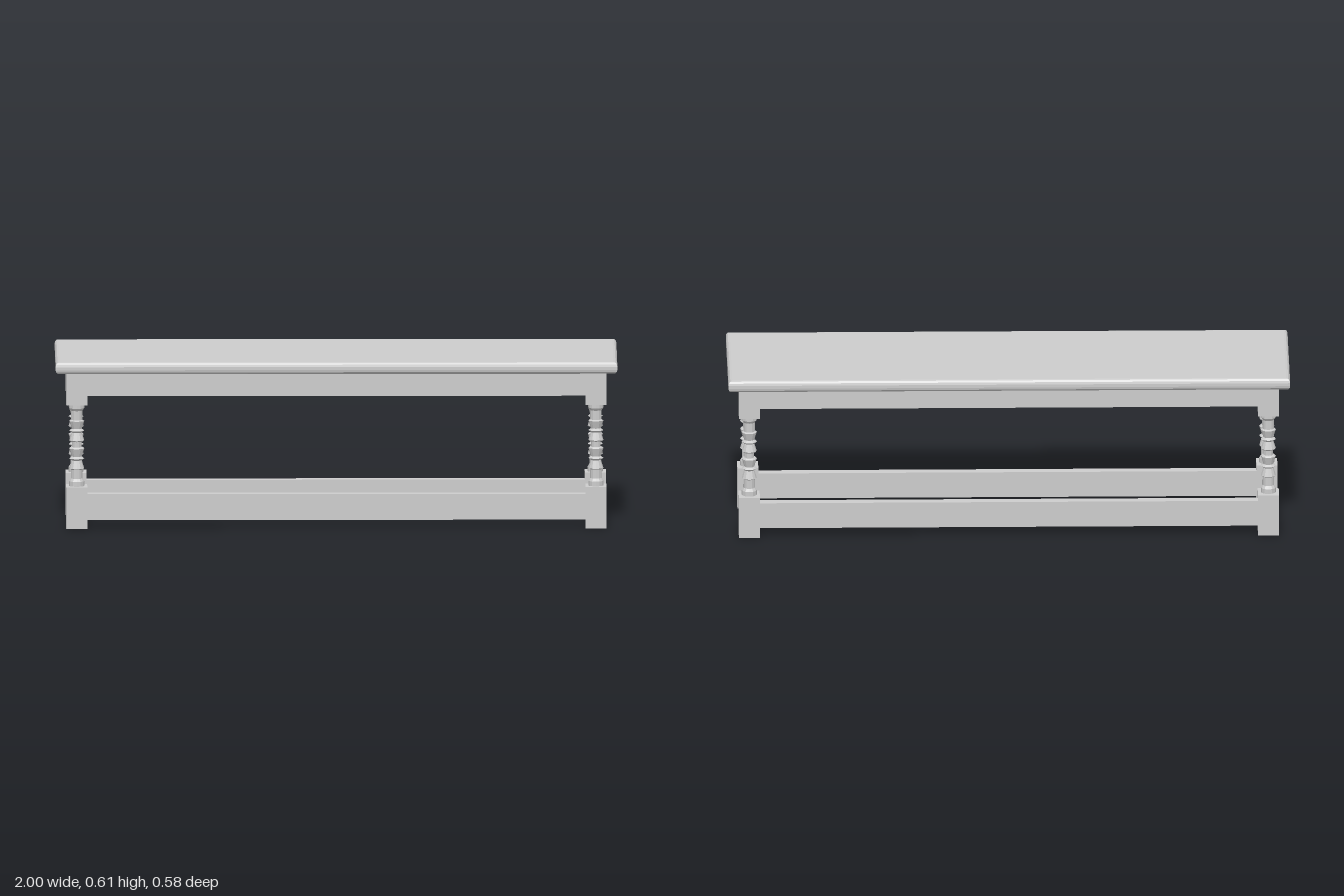
import * as THREE from 'three';

const material = new THREE.MeshStandardMaterial({ color: 0xcccccc, flatShading: true });

const LEG_X = 0.924, LEG_Z = 0.171; // leg centres
const LEG_W = 0.075, LEG_D = 0.085; // square block section
const RAIL_T = 0.036;               // thickness of aprons and stretchers

function add(parent, name, geometry, x = 0, y = 0, z = 0) {
  const mesh = new THREE.Mesh(geometry, material);
  mesh.name = name;
  mesh.position.set(x, y, z);
  parent.add(mesh);
  return mesh;
}

// Box placed by its bottom and top heights
function block(parent, name, w, d, bottom, top, x, z) {
  return add(parent, name, new THREE.BoxGeometry(w, top - bottom, d), x, (bottom + top) / 2, z);
}

// Seat board: rectangle with rounded edges and mitred corners
function seatGeometry(w, d, h) {
  const b = 0.014, t = 0.016;
  const x = w / 2 - b, z = d / 2 - b;
  const shape = new THREE.Shape([
    new THREE.Vector2(-x, -z), new THREE.Vector2(x, -z),
    new THREE.Vector2(x, z), new THREE.Vector2(-x, z),
  ]);
  const geometry = new THREE.ExtrudeGeometry(shape, {
    depth: h - 2 * t, bevelEnabled: true, bevelSize: b, bevelThickness: t, bevelSegments: 3,
  });
  return geometry.rotateX(-Math.PI / 2).translate(0, t, 0);
}

// Turned section of the leg, as radius and height pairs from bottom to top
const turning = [
  [0.027, 0.149], [0.027, 0.167], [0.0215, 0.176], // lower collar
  [0.0205, 0.177], [0.0205, 0.209],
  [0.027, 0.213], [0.018, 0.242],                  // lower double vase with ring
  [0.027, 0.249], [0.018, 0.256],
  [0.027, 0.285], [0.023, 0.289],
  [0.017, 0.290], [0.017, 0.309],                  // waist
  [0.023, 0.310], [0.027, 0.314], [0.018, 0.342],  // upper double vase with ring
  [0.027, 0.349], [0.018, 0.356],
  [0.027, 0.384], [0.0205, 0.388],
  [0.0205, 0.421], [0.027, 0.430], [0.027, 0.447], // upper collar
].map(([r, y]) => new THREE.Vector2(r, y));

export function createModel() {
  const model = new THREE.Group();
  model.name = 'bench';

  add(model, 'seat', seatGeometry(2, 0.577, 0.043), 0, 0.567, 0);

  // Four legs: square foot, turned shaft, square head
  const shaft = new THREE.LatheGeometry(turning, 12);
  for (const [side, sx] of [['Left', 1], ['Right', -1]]) {
    for (const [end, sz] of [['front', 1], ['back', -1]]) {
      const leg = new THREE.Group();
      leg.name = `${end}${side}Leg`;
      leg.position.set(sx * LEG_X, 0, sz * LEG_Z);
      block(leg, 'foot', LEG_W, LEG_D, 0, 0.15, 0, 0);
      add(leg, 'turnedShaft', shaft);
      block(leg, 'head', LEG_W, LEG_D, 0.446, 0.567, 0, 0);
      model.add(leg);
    }
  }

  // Aprons under the seat and stretchers near the floor, between the legs
  for (const [kind, bottom, top] of [['Apron', 0.475, 0.567], ['Stretcher', 0.029, 0.122]]) {
    for (const s of [1, -1]) {
      block(model, (s > 0 ? 'front' : 'back') + kind, 2 * LEG_X - LEG_W, RAIL_T, bottom, top, 0, s * LEG_Z);
      block(model, (s > 0 ? 'left' : 'right') + kind, RAIL_T, 2 * LEG_Z - LEG_D, bottom, top, s * LEG_X, 0);
    }
  }
  return model;
}
